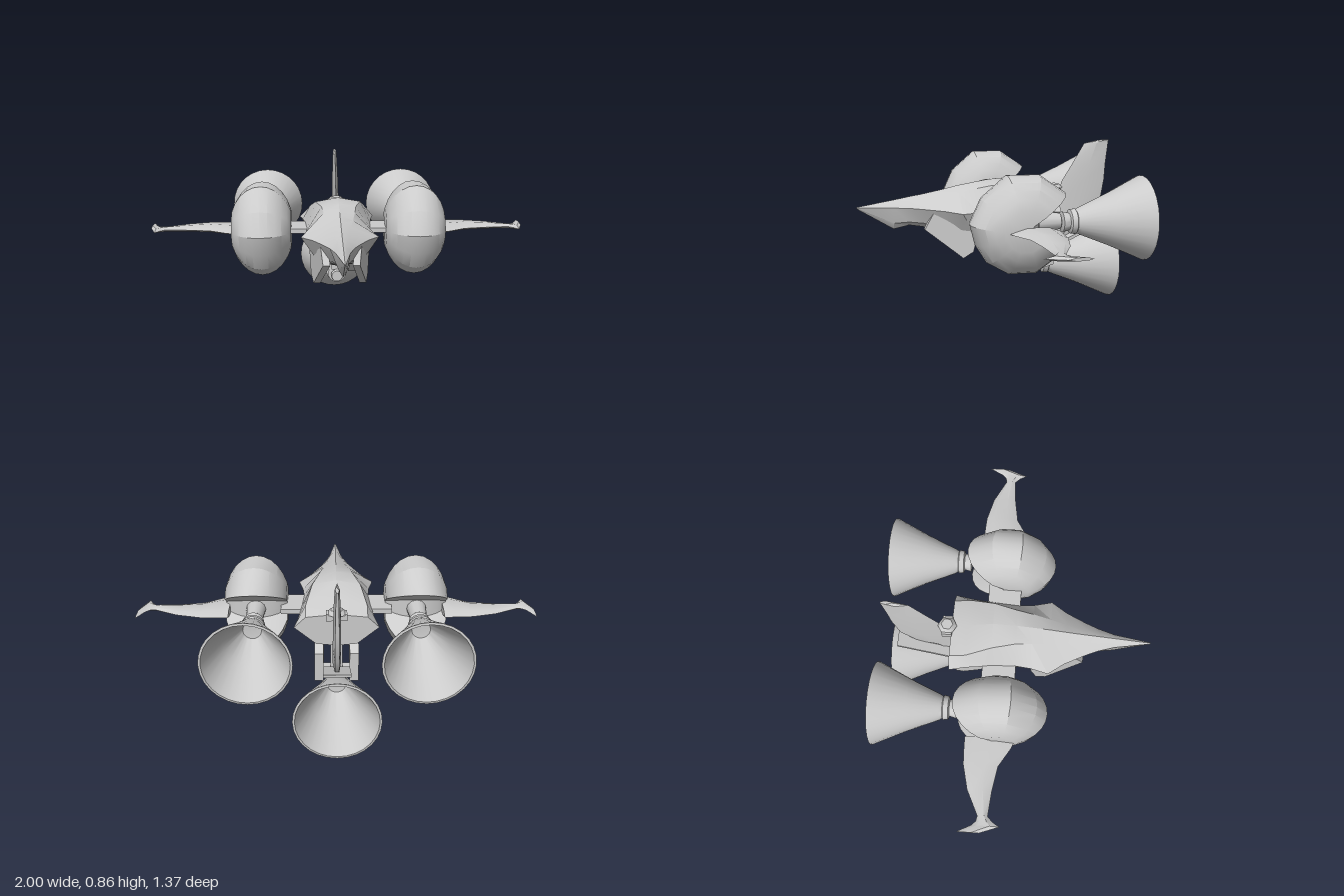
import * as THREE from 'three';
import { toCreasedNormals } from 'three/addons/utils/BufferGeometryUtils.js';

const material = new THREE.MeshStandardMaterial({ color: 0xcccccc, side: THREE.DoubleSide });

// Skin a list of closed rings ([x, y, z] points), close both ends, face it outwards.
function loft(rings, crease = 0.5) {
  const n = rings[0].length;
  const points = rings.flat().map((p) => new THREE.Vector3(...p));
  const faces = [];
  for (let i = 0; i < rings.length - 1; i++) {
    for (let j = 0; j < n; j++) {
      const a = i * n + j, b = i * n + (j + 1) % n;
      faces.push([a, b, b + n], [a, b + n, a + n]);
    }
  }
  [0, rings.length - 1].forEach((r) => {
    const mid = new THREE.Vector3();
    for (let j = 0; j < n; j++) mid.addScaledVector(points[r * n + j], 1 / n);
    const m = points.push(mid) - 1;
    for (let j = 0; j < n; j++) {
      const a = r * n + j, b = r * n + (j + 1) % n;
      faces.push(r ? [m, a, b] : [m, b, a]);
    }
  });
  let volume = 0;
  for (const [a, b, c] of faces) volume += points[a].dot(points[b].clone().cross(points[c]));
  if (volume < 0) faces.forEach((f) => f.reverse());
  const geometry = new THREE.BufferGeometry().setFromPoints(points);
  geometry.setIndex(faces.flat());
  geometry.computeVertexNormals();
  return toCreasedNormals(geometry, crease);
}

// A plate with its outline in [z, y], between two x positions.
const plate = (outline, x1, x2) => loft([x1, x2].map((x) => outline.map(([z, y]) => [x, y, z])));

// Flared engine bell with a stepped neck, opening to the back.
function bell() {
  const profile = [
    [0, 0], [0.03, 0], [0.034, 0.012], [0.034, 0.025], [0.022, 0.03], [0.022, 0.045],
    [0.05, 0.05], [0.042, 0.085], [0.058, 0.09], [0.062, 0.115], [0.055, 0.12], [0.065, 0.135],
    [0.13, 0.29], [0.206, 0.45], [0.209, 0.46], [0.198, 0.462], [0.12, 0.29], [0.045, 0.14], [0, 0.135],
  ].map(([r, y]) => new THREE.Vector2(r, y));
  return toCreasedNormals(new THREE.LatheGeometry(profile, 28).rotateX(-Math.PI / 2), 0.6);
}

// Round pod with a wedge cut out of its back, around an axis along x.
function pod(s) {
  const outline = [
    [0.18, 0.54], [0.125, 0.66], [0, 0.767], [-0.155, 0.765], [-0.285, 0.675], [-0.15, 0.585],
    [-0.15, 0.49], [-0.28, 0.385], [-0.14, 0.288], [0, 0.29], [0.1, 0.35], [0.155, 0.44],
  ];
  const rings = [];
  for (let i = 0; i <= 10; i++) {
    const a = (i / 10 - 0.5) * 2.3;
    const k = Math.cos(a);
    rings.push(outline.map(([z, y]) => [
      s * (0.405 + 0.17 * Math.sin(a)), 0.53 + (y - 0.53) * k, -0.05 + (z + 0.05) * k,
    ]));
  }
  return loft(rings, 0.45);
}

export function createModel() {
  const model = new THREE.Group();
  const add = (name, geometry, x = 0, y = 0, z = 0) => {
    const mesh = new THREE.Mesh(geometry, material);
    mesh.name = name;
    mesh.position.set(x, y, z);
    model.add(mesh);
    return mesh;
  };

  // Hull: z, ridge y, then x and y of shoulder, chine and lower edge, keel y
  const hull = [
    [0.685, 0.558, 0.002, 0.557, 0.004, 0.555, 0.002, 0.552, 0.55],
    [0.5, 0.588, 0.014, 0.58, 0.035, 0.553, 0.02, 0.47, 0.435],
    [0.42, 0.602, 0.025, 0.588, 0.06, 0.553, 0.03, 0.475, 0.452],
    [0.35, 0.613, 0.035, 0.597, 0.09, 0.55, 0.05, 0.47, 0.44],
    [0.25, 0.632, 0.05, 0.61, 0.14, 0.546, 0.08, 0.44, 0.415],
    [0.17, 0.65, 0.065, 0.625, 0.197, 0.54, 0.11, 0.41, 0.39],
    [0.08, 0.665, 0.08, 0.645, 0.175, 0.54, 0.12, 0.38, 0.36],
    [0, 0.677, 0.09, 0.66, 0.167, 0.54, 0.115, 0.37, 0.35],
    [-0.12, 0.682, 0.12, 0.66, 0.175, 0.54, 0.11, 0.37, 0.35],
    [-0.25, 0.64, 0.15, 0.61, 0.19, 0.535, 0.11, 0.4, 0.39],
    [-0.335, 0.6, 0.15, 0.585, 0.207, 0.53, 0.1, 0.44, 0.43],
  ];
  add('hull', loft(hull.map(([z, top, x1, y1, x2, y2, x3, y3, keel]) => [
    [0, top, z], [x1, y1, z], [x2, y2, z], [x3, y3, z],
    [0, keel, z], [-x3, y3, z], [-x2, y2, z], [-x1, y1, z],
  ]), 0.4));

  // Tail fin: y, front z, back z, half thickness
  const fin = [
    [0.31, -0.365, -0.38, 0.012], [0.39, -0.335, -0.53, 0.02], [0.5, -0.355, -0.61, 0.02],
    [0.65, -0.4, -0.635, 0.018], [0.74, -0.455, -0.64, 0.016],
    [0.85, -0.52, -0.652, 0.011], [0.865, -0.6, -0.655, 0.009],
  ];
  add('tailFin', loft(fin.map(([y, f, b, t]) => {
    const m = (f + b) / 2;
    return [[0, y, f], [t, y, m], [t * 0.5, y, b], [-t * 0.5, y, b], [-t, y, m]];
  })));
  add('finBase', plate([[-0.37, 0.31], [-0.63, 0.43], [-0.63, 0.445], [-0.36, 0.325]], -0.065, 0.065));
  add('rearSensor', new THREE.BoxGeometry(0.1, 0.035, 0.05), 0, 0.605, -0.355);
  add('sensorCap', new THREE.CylinderGeometry(0.03, 0.05, 0.02, 6), 0, 0.628, -0.355);

  // Engines
  add('lowerEngine', bell(), 0, 0.21, -0.205);
  add('engineCrossbar', new THREE.BoxGeometry(0.18, 0.05, 0.05), 0, 0.26, -0.28);
  add('enginePylon', new THREE.BoxGeometry(0.06, 0.2, 0.07), 0, 0.34, -0.27);

  for (const s of [1, -1]) {
    const side = s > 0 ? 'left' : 'right';
    add(side + 'Engine', bell(), s * 0.405, 0.53, -0.222);
    add(side + 'Pod', pod(s));
    const hub = new THREE.CylinderGeometry(0.04, 0.05, 0.12, 12).rotateX(-Math.PI / 2);
    add(side + 'EngineHub', hub, s * 0.405, 0.535, -0.2);
    add(side + 'PodStrut', new THREE.BoxGeometry(0.12, 0.025, 0.17), s * 0.22, 0.53, -0.08);

    // Wing with hooked tip: x, front z, back z, half thickness
    const wing = [
      [0.54, 0.03, -0.22, 0.025], [0.59, 0.01, -0.22, 0.025], [0.68, -0.045, -0.215, 0.022],
      [0.8, -0.065, -0.185, 0.017], [0.92, -0.075, -0.125, 0.012],
      [0.945, -0.05, -0.13, 0.012], [0.965, -0.015, -0.15, 0.011], [1, -0.11, -0.22, 0.008],
    ];
    add(side + 'Wing', loft(wing.map(([x, f, b, t]) => {
      const at = (k) => f + (b - f) * k;
      return [[s * x, 0.523, f], [s * x, 0.523 + t, at(0.35)], [s * x, 0.523 + t * 0.7, at(0.8)],
        [s * x, 0.523, b], [s * x, 0.523 - t * 0.7, at(0.8)], [s * x, 0.523 - t, at(0.35)]];
    })));

    // Cheek guard under the nose, leaning outwards
    const cheek = [[0.35, 0.445], [0.16, 0.295], [0.11, 0.33], [0.08, 0.45], [0.17, 0.535], [0.3, 0.54]];
    add(side + 'CheekGuard', loft([0, 1].map((k) => cheek.map(([z, y]) => [
      s * (0.055 + (0.35 - z) * 0.24 + k * 0.035), y, z,
    ]))));

    // Leg carrying the lower engine
    const leg = [[-0.04, 0.4], [-0.2, 0.262], [-0.29, 0.212], [-0.33, 0.225], [-0.33, 0.38], [-0.25, 0.45]];
    add(side + 'EngineLeg', plate(leg, s * 0.065, s * 0.11));
  }
  return model;
}
